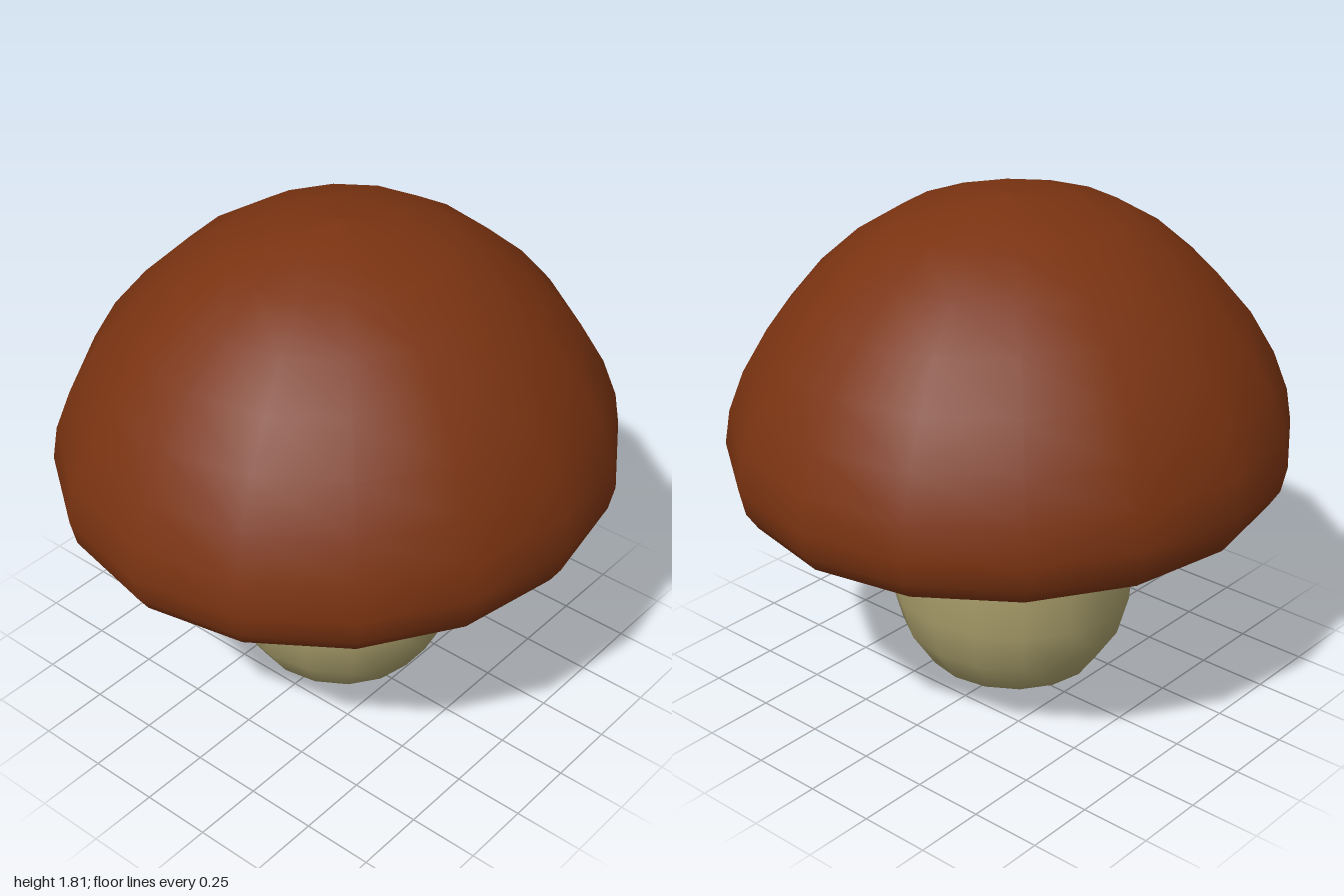
import * as THREE from 'three';

const SIDES = 16;

// Smooth lathe from [radius, height] pairs, squeezed to an oval cross-section
function turned(name, profile, color, scaleX, scaleZ) {
  const points = profile.map(([r, y]) => new THREE.Vector2(r, y));
  const geometry = new THREE.LatheGeometry(points, SIDES);
  geometry.scale(scaleX, 1, scaleZ);
  const mesh = new THREE.Mesh(geometry, new THREE.MeshStandardMaterial({ color }));
  mesh.name = name;
  return mesh;
}

export function createModel() {
  const group = new THREE.Group();
  group.name = 'mushroom';

  // Domed cap with a rolled rim, open underneath
  group.add(turned('cap', [
    [0.78, 0.775], [0.86, 0.775], [0.94, 0.8], [0.98, 0.86], [1, 0.95],
    [0.98, 1.07], [0.925, 1.21], [0.835, 1.36], [0.71, 1.505], [0.565, 1.63],
    [0.4, 1.73], [0.2, 1.79], [0, 1.81],
  ], 0x7a3311, 1, 0.95));

  // Rounded stem, flaring at the top
  group.add(turned('stem', [
    [0, 0], [0.165, 0.03], [0.3, 0.1], [0.38, 0.225], [0.42, 0.375],
    [0.42, 0.56], [0.405, 0.71], [0.435, 0.785], [0.47, 0.83],
  ], 0xa89d6a, 1, 1.045));

  // Shallow hollow between the stem and the cap rim
  group.add(turned('underside', [
    [0.42, 0.84], [0.47, 0.83], [0.62, 0.81], [0.78, 0.775],
  ], 0xa89d6a, 1, 0.95));

  return group;
}
